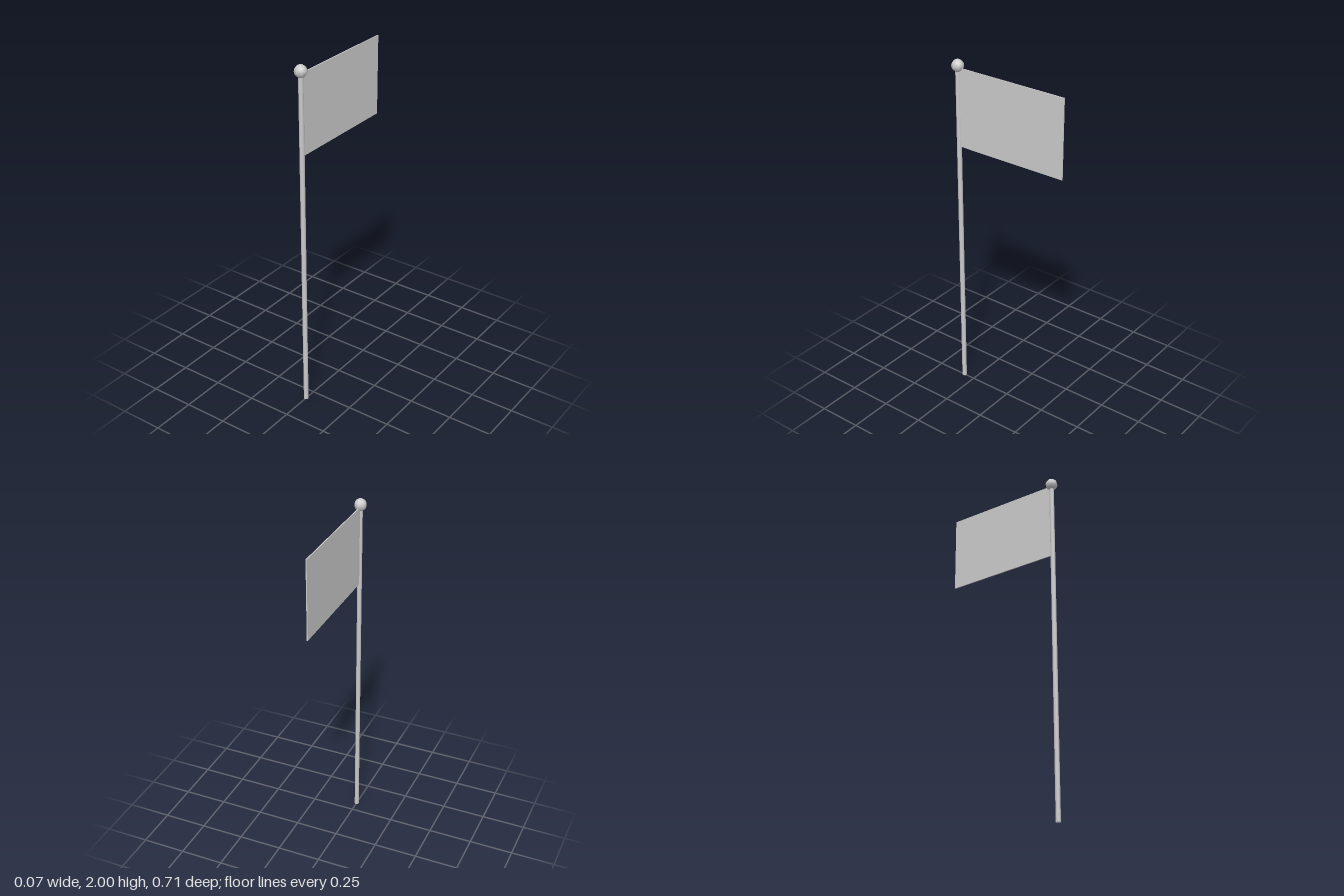
import * as THREE from 'three';

const POLE_Z = 0.319;

export function createModel() {
  const model = new THREE.Group();
  model.name = 'flagpole';
  const grey = new THREE.MeshStandardMaterial({ color: 0xcccccc });

  const add = (name, geometry, x, y, z) => {
    const mesh = new THREE.Mesh(geometry, grey);
    mesh.name = name;
    mesh.position.set(x, y, z);
    model.add(mesh);
  };

  // Slender upright pole, ending inside the ball
  add('pole', new THREE.CylinderGeometry(0.0135, 0.0135, 1.96, 8), 0, 0.98, POLE_Z);

  // Low-sided, smooth-shaded ball on top
  add('finial', new THREE.SphereGeometry(0.034, 8, 8), 0, 1.966, POLE_Z);

  // Thin flat flag reaching back from the pole
  const back = -0.353;
  const length = POLE_Z - back;
  add('flag', new THREE.BoxGeometry(0.006, 0.446, length), 0, 1.732, back + length / 2);

  return model;
}
